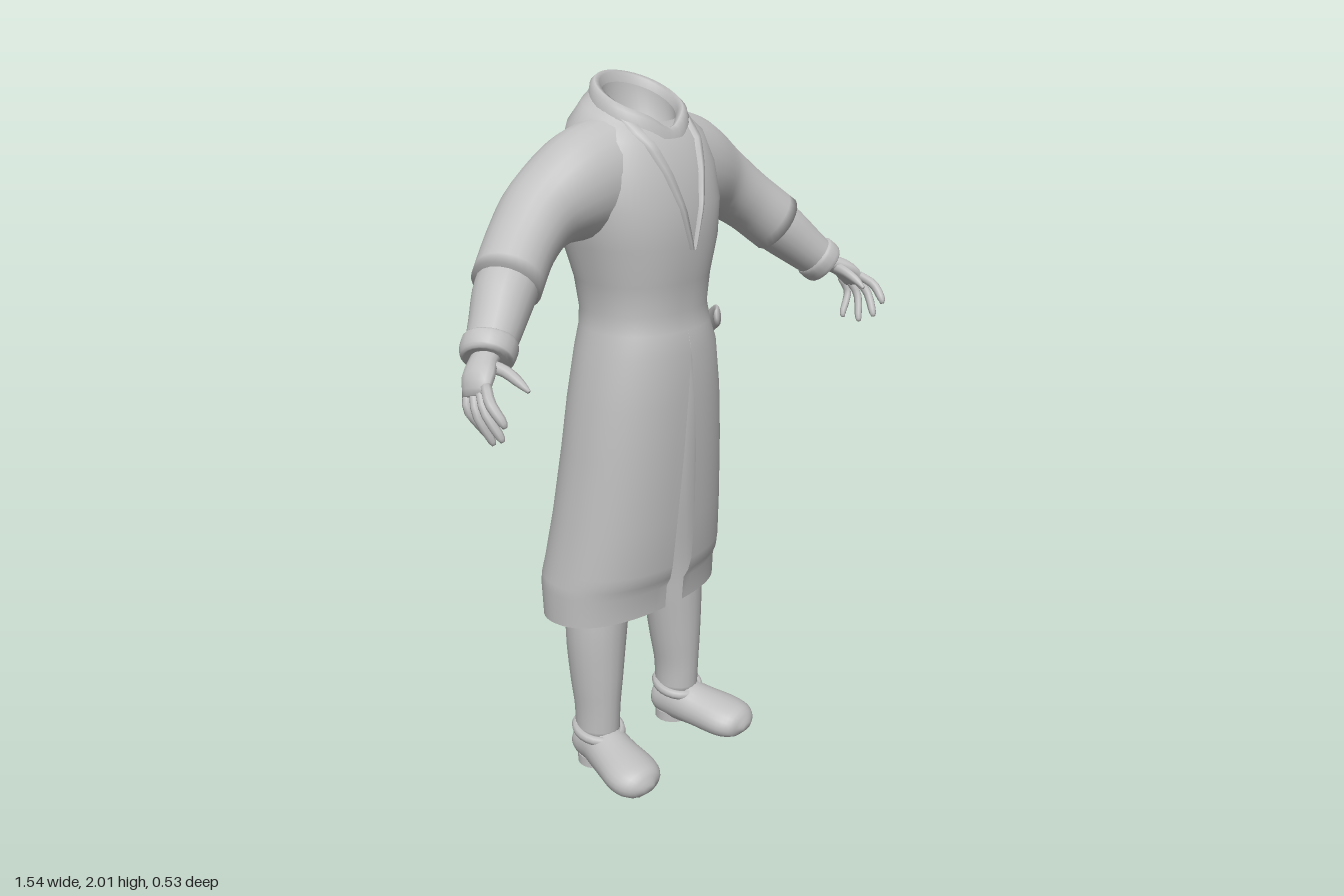
import * as THREE from 'three';
import { mergeVertices } from 'three/addons/utils/BufferGeometryUtils.js';

const grey = new THREE.MeshStandardMaterial({ color: 0xc0c0c0, side: THREE.DoubleSide });
grey.name = 'plain grey';
const V = (x, y, z) => new THREE.Vector3(x, y, z);

// Skin between rows of points; closed rows join end to start.
function loft(rows, closed) {
  const n = rows[0].length, pos = [], idx = [];
  rows.forEach(r => r.forEach(p => pos.push(p.x, p.y, p.z)));
  for (let i = 0; i < rows.length - 1; i++) {
    for (let j = 0; j < (closed ? n : n - 1); j++) {
      const k = (j + 1) % n, a = i * n + j, b = i * n + k, c = a + n, d = b + n;
      idx.push(a, c, b, b, c, d);
    }
  }
  let g = new THREE.BufferGeometry();
  g.setAttribute('position', new THREE.Float32BufferAttribute(pos, 3));
  g.setIndex(idx);
  g = mergeVertices(g, 1e-5);
  g.computeVertexNormals();
  return g;
}

// Elliptical tube through stations [x, y, z, radius across, radius along ref].
function sweep(st, ref, steps = 16, sides = 18, capped = true) {
  const path = new THREE.CatmullRomCurve3(st.map(s => V(s[0], s[1], s[2])));
  const radii = new THREE.CatmullRomCurve3(st.map(s => V(s[3], s[4], 0)));
  radii.curveType = path.curveType = 'catmullrom';
  const rows = [];
  for (let i = 0; i <= steps; i++) {
    const c = path.getPoint(i / steps), r = radii.getPoint(i / steps), t = path.getTangent(i / steps);
    const w = ref.clone().addScaledVector(t, -ref.dot(t)).normalize();
    const u = V(0, 0, 0).crossVectors(t, w);
    const ring = [];
    for (let j = 0; j < sides; j++) {
      const a = j / sides * Math.PI * 2;
      ring.push(c.clone().addScaledVector(u, r.x * Math.cos(a)).addScaledVector(w, r.y * Math.sin(a)));
    }
    if (capped && i === 0) rows.push(ring.map(() => c.clone()));
    rows.push(ring);
    if (capped && i === steps) rows.push(ring.map(() => c.clone()));
  }
  return loft(rows, true);
}

function add(parent, name, geo) {
  const m = new THREE.Mesh(geo, grey);
  m.name = name;
  parent.add(m);
  return m;
}

// Coat sections: y, half width, front z, back z, forward tilt, half slit
const COAT = [
  [1.94, 0.112, 0.06, -0.14, 0.05, 0], [1.91, 0.15, 0.075, -0.165, 0.045, 0],
  [1.87, 0.195, 0.10, -0.19, 0.03, 0], [1.78, 0.225, 0.13, -0.215, 0.01, 0],
  [1.68, 0.232, 0.153, -0.233, 0, 0], [1.58, 0.215, 0.156, -0.217, 0, 0],
  [1.48, 0.188, 0.143, -0.19, 0, 0], [1.40, 0.18, 0.135, -0.175, 0, 0],
  [1.35, 0.186, 0.145, -0.175, 0, 0], [1.29, 0.205, 0.158, -0.181, 0, 0.001],
  [1.15, 0.23, 0.16, -0.195, 0, 0.014], [1.0, 0.247, 0.157, -0.21, 0, 0.025],
  [0.8, 0.27, 0.145, -0.235, 0, 0.036], [0.66, 0.288, 0.132, -0.258, 0, 0.04],
  [0.62, 0.295, 0.122, -0.264, 0, 0.038], [0.59, 0.298, 0.106, -0.262, 0, 0.036],
  [0.50, 0.297, 0.10, -0.252, 0.018, 0.036],
];
function section(y) {
  let i = 0;
  while (i < COAT.length - 2 && COAT[i + 1][0] > y) i++;
  const A = COAT[i], B = COAT[i + 1], t = (A[0] - y) / (A[0] - B[0]);
  return A.map((v, k) => v + (B[k] - v) * t);
}
const POW = 0.87;
// Point on the coat at angle a from the front centre, pushed outward by off
function coatPoint(y, a, off = 0) {
  const [, rx, zf, zb, tilt] = section(y), s = Math.sin(a), c = Math.cos(a);
  const sign = tilt && y < 1 ? -tilt : tilt;
  return V((rx + off) * Math.sign(s) * Math.abs(s) ** POW, y - sign * c,
    (zf + zb) / 2 + ((zf - zb) / 2 + off) * Math.sign(c) * Math.abs(c) ** POW);
}
const angleAt = (y, x) => Math.asin(Math.min(1, (Math.abs(x) / section(y)[1]) ** (1 / POW)));

function buildCoat(g) {
  const levels = COAT.map(r => r[0]);
  const rows = levels.map((y, i) => {
    const a0 = angleAt(y, COAT[i][5]), row = [];
    for (let j = 0; j <= 56; j++) row.push(coatPoint(y, a0 + (Math.PI * 2 - 2 * a0) * j / 56));
    return row;
  });
  add(g, 'coat', loft(rows, false));

  // standing collar and the hollow inside it
  const ring = (r, y, dz, tilt) => Array.from({ length: 36 }, (_, j) => {
    const a = j / 36 * Math.PI * 2, c = Math.cos(a);
    return V(r * Math.sin(a), y - tilt * c - 0.03 * Math.max(0, c) ** 12, -0.035 + dz + r * 0.95 * c);
  });
  add(g, 'collar', loft([ring(0.135, 1.918, 0, 0.05), ring(0.13, 1.945, 0, 0.05),
    ring(0.118, 1.955, 0, 0.05), ring(0.104, 1.95, 0, 0.05), ring(0.097, 1.91, 0, 0.045)], true));
  add(g, 'neckHollow', loft([ring(0.099, 1.93, 0, 0.045), ring(0.092, 1.87, 0, 0.03),
    ring(0.06, 1.83, 0, 0.01), ring(0.0001, 1.82, 0, 0)], true));
}

function buildSide(g) {
  // raised lapel running down to the closing point
  const lapel = [];
  for (let i = 0; i <= 14; i++) {
    const t = i / 14, y = 1.925 - 0.355 * t;
    const inner = 0.085 * (1 - t) + 0.002, width = 0.034 * (1 - t) + 0.006;
    lapel.push([[0, -0.004], [0.05, 0.012], [0.6, 0.01], [1, -0.001]].map(([k, off]) =>
      coatPoint(y, angleAt(y, inner + width * k), off)));
  }
  add(g, 'lapel', loft(lapel, false));

  // sleeve in two layers, with turned cuff
  const Z = V(0, 0, 1), X = V(1, 0, 0);
  add(g, 'upperSleeve', sweep([[0.09, 1.755, -0.045, 0.16, 0.13], [0.21, 1.735, -0.05, 0.142, 0.124],
    [0.33, 1.69, -0.053, 0.106, 0.106], [0.43, 1.625, -0.025, 0.088, 0.094],
    [0.525, 1.545, 0.022, 0.088, 0.088]], Z, 18, 24));
  add(g, 'foreSleeve', sweep([[0.47, 1.58, -0.005, 0.07, 0.075], [0.53, 1.535, 0.025, 0.077, 0.079],
    [0.60, 1.47, 0.068, 0.066, 0.068], [0.655, 1.42, 0.10, 0.056, 0.06]], Z, 10, 20));
  add(g, 'cuff', sweep([[0.632, 1.442, 0.085, 0.058, 0.062], [0.638, 1.436, 0.089, 0.067, 0.07],
    [0.662, 1.414, 0.103, 0.064, 0.067], [0.668, 1.408, 0.107, 0.05, 0.053]], Z, 9, 20));

  // hand with curled fingers
  const hand = new THREE.Group();
  hand.name = 'hand';
  g.add(hand);
  add(hand, 'palm', sweep([[0.65, 1.422, 0.10, 0.03, 0.034], [0.69, 1.41, 0.122, 0.026, 0.037],
    [0.725, 1.385, 0.145, 0.025, 0.046], [0.745, 1.35, 0.158, 0.014, 0.042]], Z, 8, 14));
  const tips = [[0.75, 1.30, 0.262], [0.74, 1.258, 0.24], [0.73, 1.237, 0.197], [0.715, 1.245, 0.15]];
  tips.forEach(([x, y, z], i) => {
    const k = i / 3, r = 0.0135 - 0.002 * k;
    const b = [0.735, 1.377 - 0.018 * k, 0.185 - 0.065 * k];
    add(hand, 'finger', sweep([[...b, r, r],
      [0.757 - 0.006 * k, (b[1] + y) / 2 + 0.012, (b[2] + z) / 2, r, r],
      [x + 0.003, y + 0.015, z - 0.006, r * 0.85, r * 0.85], [x, y, z, r * 0.4, r * 0.4]], X, 8, 8));
  });
  add(hand, 'thumb', sweep([[0.685, 1.405, 0.125, 0.018, 0.018], [0.672, 1.398, 0.175, 0.015, 0.015],
    [0.668, 1.38, 0.22, 0.012, 0.012], [0.664, 1.362, 0.25, 0.005, 0.005]], X, 8, 8));

  // trouser leg
  add(g, 'leg', sweep([[0.08, 1.3, -0.03, 0.10, 0.085], [0.095, 1.1, -0.03, 0.115, 0.09],
    [0.115, 0.85, -0.035, 0.105, 0.092], [0.15, 0.6, -0.05, 0.095, 0.087],
    [0.165, 0.45, -0.055, 0.094, 0.087], [0.172, 0.3, -0.05, 0.084, 0.074],
    [0.175, 0.2, -0.045, 0.074, 0.063], [0.175, 0.11, -0.045, 0.07, 0.062]], X, 24, 20));

  // shoe with flattened underside, heel block and ankle band
  const shoe = sweep([[0.168, 0.06, -0.114, 0.02, 0.03], [0.17, 0.062, -0.098, 0.055, 0.056],
    [0.175, 0.07, -0.03, 0.07, 0.066], [0.193, 0.06, 0.05, 0.064, 0.074],
    [0.212, 0.052, 0.135, 0.056, 0.083], [0.22, 0.047, 0.185, 0.045, 0.064],
    [0.222, 0.044, 0.21, 0.012, 0.02]], X, 22, 24);
  const p = shoe.attributes.position;
  for (let i = 0; i < p.count; i++) p.setY(i, Math.max(p.getY(i), 0.018));
  shoe.computeVertexNormals();
  add(g, 'shoe', shoe);
  const heel = add(g, 'heel', new THREE.CylinderGeometry(0.055, 0.055, 0.03, 20));
  heel.position.set(0.172, 0.015, -0.057);
  const band = add(g, 'ankleBand', new THREE.TorusGeometry(0.066, 0.012, 8, 24));
  band.position.set(0.176, 0.12, -0.04);
  band.rotation.set(Math.PI / 2 + 0.15, 0, 0);
  band.scale.set(1, 1.08, 1.3);
}

export function createModel() {
  const model = new THREE.Group();
  model.name = 'coatedFigure';
  buildCoat(model);
  for (const s of [1, -1]) {
    const side = new THREE.Group();
    side.name = s > 0 ? 'leftSide' : 'rightSide';
    buildSide(side);
    side.scale.x = s;
    model.add(side);
  }
  // trouser seat seen through the front slit
  const seat = add(model, 'trouserSeat', new THREE.SphereGeometry(1, 24, 16));
  seat.scale.set(0.16, 0.15, 0.115);
  seat.position.set(0, 1.22, -0.03);

  // loose belt end on the left hip
  add(model, 'beltEnd', sweep([[0.14, 1.352, 0.125, 0.022, 0.008], [0.185, 1.345, 0.09, 0.03, 0.01],
    [0.22, 1.315, 0.04, 0.031, 0.01], [0.243, 1.275, -0.01, 0.031, 0.01],
    [0.262, 1.232, -0.052, 0.031, 0.009]], V(1, 0, 0.35), 14, 10));
  return model;
}
